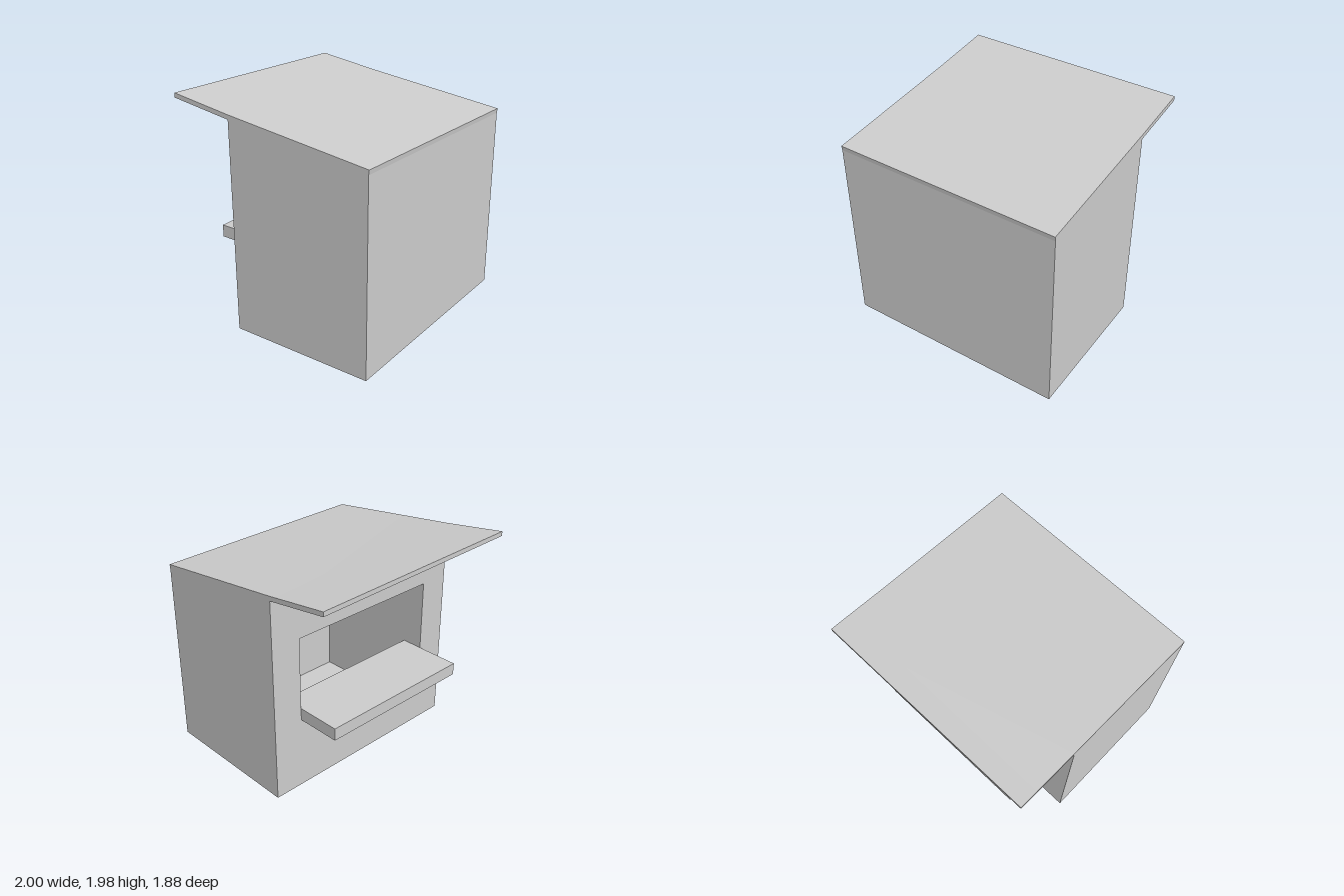
import * as THREE from 'three';

const HALF = 1, FRONT = 0.935, BACK = -0.37, EAVE = -0.94;
const OPENING = 0.725, WALL = 0.1, SILL = 0.65, HEAD = 1.4;

// Underside of the roof: rises to the back, falls slightly to +x, with a faint bend at the back wall
function roofUnderside(x, z) {
  const atBack = 1.833;
  const base = z >= BACK
    ? atBack - (z - BACK) * 0.1245
    : atBack + (BACK - z) * 0.144;
  return base - 0.02 * x;
}

// Box whose bottom and top heights are numbers or functions of (x, z)
function slab(name, material, x0, x1, zs, bottom, top, frontLean = 0) {
  const geometry = new THREE.BoxGeometry(1, 1, 1, 1, 1, zs.length - 1);
  const p = geometry.attributes.position;
  const height = (h, x, z) => (typeof h === 'function' ? h(x, z) : h);
  for (let i = 0; i < p.count; i++) {
    const isTop = p.getY(i) > 0;
    const row = Math.round((p.getZ(i) + 0.5) * (zs.length - 1));
    const x = p.getX(i) > 0 ? x1 : x0;
    const z = zs[row];
    const y = height(isTop ? top : bottom, x, z);
    const lean = isTop && row === zs.length - 1 ? frontLean : 0;
    p.setXYZ(i, x, y, z + lean);
  }
  geometry.computeVertexNormals();
  const mesh = new THREE.Mesh(geometry, material);
  mesh.name = name;
  return mesh;
}

export function createModel() {
  const group = new THREE.Group();
  group.name = 'kiosk';
  const grey = new THREE.MeshStandardMaterial({ color: 0xcccccc });
  grey.name = 'plain grey';
  const add = (...args) => group.add(slab(args[0], grey, ...args.slice(1)));

  // Thick side walls
  add('leftWall', OPENING, HALF, [BACK, FRONT], 0, roofUnderside);
  add('rightWall', -HALF, -OPENING, [BACK, FRONT], 0, roofUnderside);

  // Closed front wall, and back wall above and below the serving window
  add('frontWall', -OPENING, OPENING, [FRONT - WALL, FRONT], 0, roofUnderside);
  add('backWallBelowWindow', -OPENING, OPENING, [BACK, BACK + WALL], 0, SILL);
  add('backWallAboveWindow', -OPENING, OPENING, [BACK, BACK + WALL], HEAD, roofUnderside);

  // Floor and ceiling of the room
  const room = [BACK + WALL, FRONT - WALL];
  add('floor', -OPENING, OPENING, room, 0, 0.1);
  add('ceiling', -OPENING, OPENING, room, (x, z) => roofUnderside(x, z) - 0.14, roofUnderside);

  // Serving counter passing through the window
  add('counter', -OPENING, OPENING, [-0.765, -0.175], SILL, 0.76);

  // Roof with a deep overhang above the counter
  add('roof', -HALF, HALF, [EAVE, BACK, FRONT], roofUnderside,
    (x, z) => roofUnderside(x, z) + 0.04, 0.005);

  return group;
}
